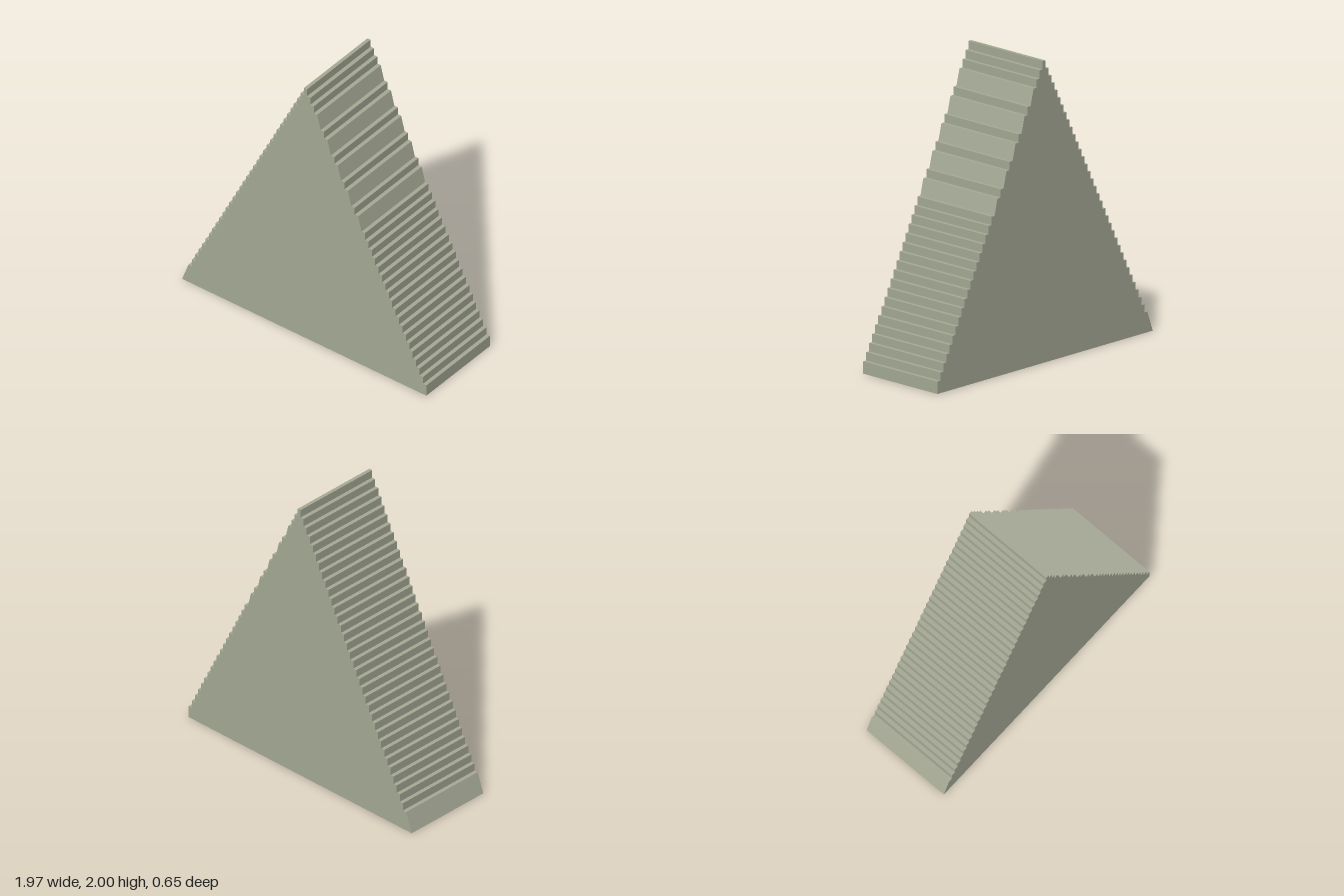
import * as THREE from 'three';

const DEPTH = 0.655, RISE = 0.0548, RUN = 0.0275;
const RAMPS = [3, 6, 9, 12, 15]; // right-hand steps merged into steep ramps

export function createModel() {
  const group = new THREE.Group();
  const stone = new THREE.MeshStandardMaterial({ color: 0xa4a894 });
  stone.name = 'greenGreyStone';

  const y = (k) => 2 - RISE * k;
  const right = (k) => 0.022 + RUN * k;
  const left = (k) => -0.003 - 0.0274 * k;
  const points = [];
  const add = (px, py) => points.push(new THREE.Vector2(px, py));

  // left flight, from the foot ramp up to the apex
  add(-0.985, 0);
  add(left(34), y(34));
  for (let k = 33; k >= 0; k--) {
    add(left(k), y(k + 1));
    add(left(k), y(k));
  }

  // right flight, from the apex down, with ramps in its upper half
  for (let k = 0; k < 35; k++) {
    add(right(k), y(k));
    if (RAMPS.includes(k)) {
      add(right(k + 1), y(k + 2));
      k++;
      add(right(k), y(k + 1));
    } else {
      add(right(k), y(k + 1));
    }
  }
  add(right(35), y(35));
  add(right(35), 0);

  // drop repeated corners and wind counter-clockwise
  const outline = points.filter((p, i) => i === 0 || p.distanceTo(points[i - 1]) > 1e-5).reverse();

  const geometry = new THREE.ExtrudeGeometry(new THREE.Shape(outline), { depth: DEPTH, bevelEnabled: false });
  geometry.translate(0, 0, -DEPTH / 2);
  const wedge = new THREE.Mesh(geometry, stone);
  wedge.name = 'steppedWedge';
  group.add(wedge);
  return group;
}
